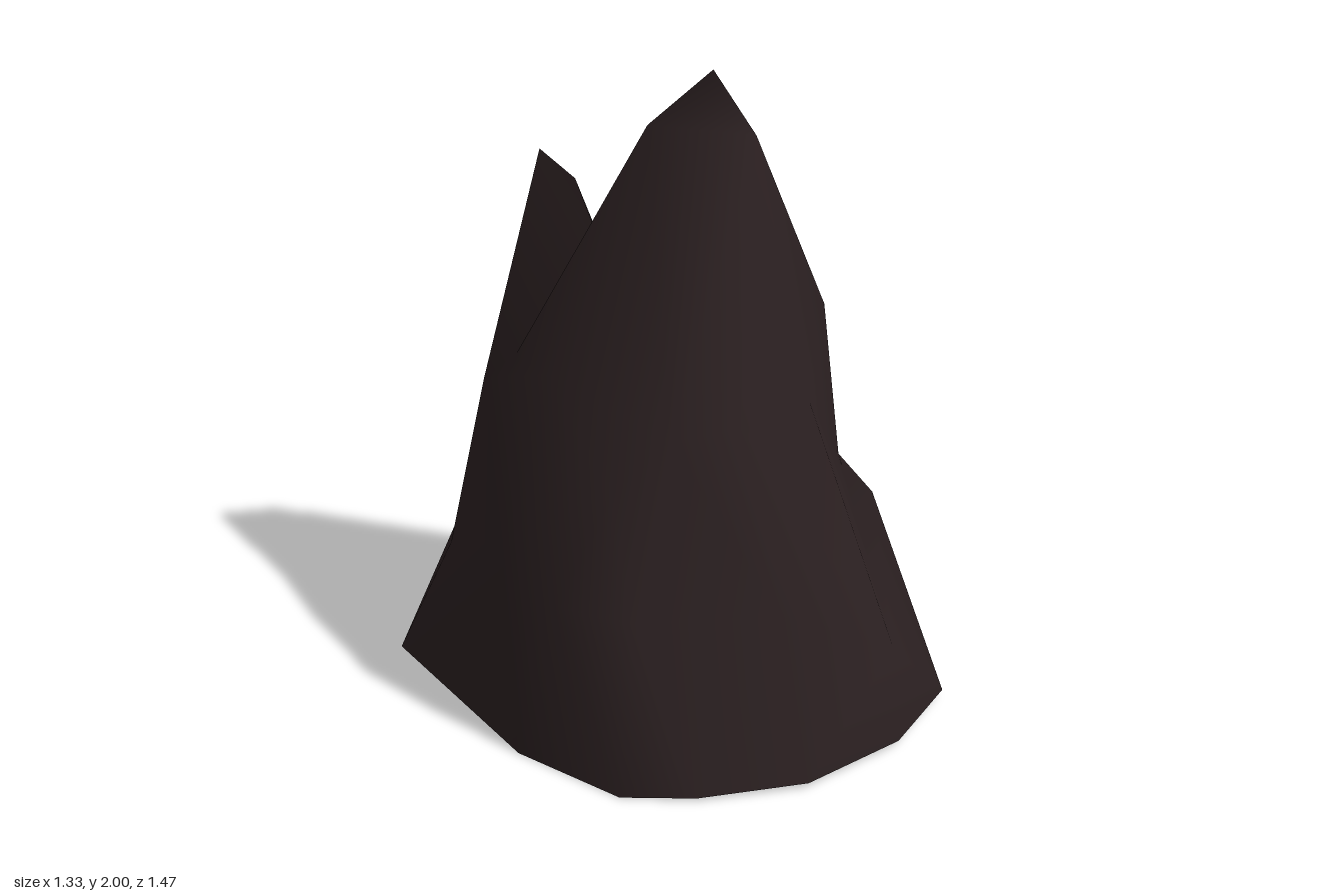
import * as THREE from 'three';
import { mergeVertices } from 'three/addons/utils/BufferGeometryUtils.js';

export function createModel() {
  const group = new THREE.Group();
  group.name = 'twinPeakRock';
  const stone = new THREE.MeshStandardMaterial({ color: 0x2b2021, side: THREE.DoubleSide });
  stone.name = 'darkStone';

  // Three twelve-sided cross-sections, from the ground to the shoulders
  const base = [
    [-0.645, 0, -0.63], [-0.4, 0, -0.735], [0.17, 0, -0.71], [0.38, 0.01, -0.55],
    [0.49, 0.02, -0.27], [0.665, 0.05, 0.25], [0.545, 0.03, 0.62], [0.27, 0.02, 0.73],
    [-0.08, 0.02, 0.73], [-0.38, 0.01, 0.58], [-0.55, 0, 0.43], [-0.665, 0, 0.07],
  ];
  const waist = [
    [-0.52, 0.41, -0.5], [-0.36, 0.45, -0.65], [-0.03, 0.45, -0.66], [0.22, 0.48, -0.4],
    [0.38, 0.48, -0.2], [0.48, 0.58, 0.05], [0.49, 0.62, 0.32], [0.27, 0.33, 0.69],
    [-0.08, 0.53, 0.59], [-0.46, 0.54, 0.37], [-0.59, 0.55, 0.18], [-0.62, 0.66, -0.05],
  ];
  const shoulder = [
    [-0.4, 0.97, -0.46], [-0.28, 1.1, -0.49], [-0.08, 1.1, -0.49], [0.03, 1.02, -0.43],
    [0.1, 0.95, -0.27], [0.34, 0.81, 0.04], [0.34, 0.81, 0.33], [0.18, 1.06, 0.38],
    [-0.08, 1.06, 0.39], [-0.28, 1.06, 0.32], [-0.44, 0.9, 0.25], [-0.45, 1.17, -0.04],
  ];

  const positions = [];
  const tri = (a, b, c) => positions.push(...a, ...b, ...c);
  const reach = (a, b) => Math.hypot(a[0] + b[0], a[2] + b[2]);
  // Joins two sections, splitting each quad along its more bulging diagonal
  const loft = (low, high) => low.forEach((p, i) => {
    const j = (i + 1) % low.length;
    if (reach(low[j], high[i]) > reach(p, high[j])) {
      tri(low[j], p, high[i]);
      tri(low[j], high[i], high[j]);
    } else {
      tri(low[j], p, high[j]);
      tri(p, high[i], high[j]);
    }
  });
  loft(base, waist);
  loft(waist, shoulder);

  // Summit points, side ledge and the saddle between the peaks
  const s = shoulder;
  const top = [0.09, 2, 0.03], topLeft = [-0.17, 1.91, 0.07], topFront = [0.04, 1.9, 0.29];
  const ledgeBack = [0.315, 1.31, 0.05], ledgeFront = [0.31, 1.3, 0.28];
  const saddle = [-0.13, 1.37, -0.18];
  const saddleLeft = [-0.42, 1.14, -0.25], saddleRight = [0.015, 1.11, -0.26];
  const tip = [-0.24, 1.71, -0.365], tipSide = [-0.1, 1.57, -0.39];

  // Small rear peak
  [
    [s[0], s[11], saddleLeft], [s[0], saddleLeft, tip], [s[1], s[0], tip],
    [s[1], tip, tipSide], [s[2], s[1], tipSide], [s[3], s[2], tipSide],
    [s[4], s[3], saddleRight], [s[3], tipSide, saddleRight],
    [saddleLeft, saddle, tip], [saddle, tipSide, tip], [saddle, saddleRight, tipSide],
  ].forEach((t) => tri(...t));

  // Tall main peak
  [
    [saddleRight, saddle, top], [saddle, topLeft, top],
    [saddle, saddleLeft, topLeft], [saddleLeft, s[11], topLeft],
    [s[4], saddleRight, ledgeBack], [saddleRight, top, ledgeBack], [s[5], s[4], ledgeBack],
    [s[6], s[5], ledgeBack], [s[6], ledgeBack, ledgeFront],
    [ledgeFront, ledgeBack, top], [ledgeFront, top, topFront],
    [s[7], s[6], ledgeFront], [s[7], ledgeFront, topFront],
    [s[8], s[7], topFront], [s[9], s[8], topFront], [s[9], topFront, topLeft],
    [s[10], s[9], s[11]], [s[11], s[9], topLeft], [top, topLeft, topFront],
  ].forEach((t) => tri(...t));

  // Shared corners give the worn, smooth surface
  const faces = new THREE.BufferGeometry();
  faces.setAttribute('position', new THREE.Float32BufferAttribute(positions, 3));
  const geometry = mergeVertices(faces);
  geometry.computeVertexNormals();
  const rock = new THREE.Mesh(geometry, stone);
  rock.name = 'rock';
  group.add(rock);
  return group;
}
